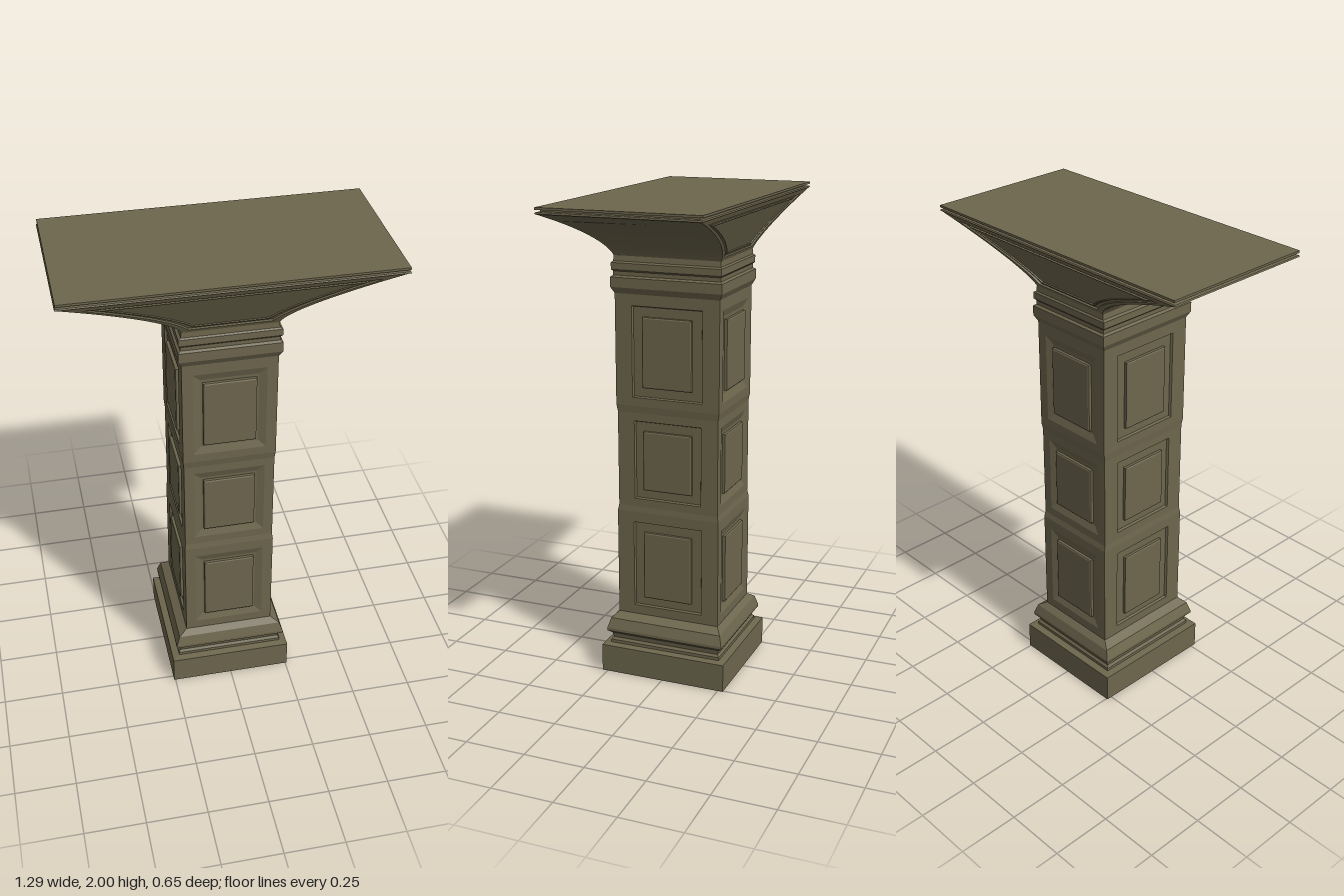
import * as THREE from 'three';

const stone = new THREE.MeshStandardMaterial({ color: 0x6e674e });
stone.name = 'olive stone';

// Flat-shaded skin over a list of matching closed rings (each counter-clockwise)
function bridge(rings, capEnd = false, capStart = false) {
  const pos = [];
  const quad = (a, b, c, d) => [a, b, c, a, c, d].forEach((p) => pos.push(...p));
  const cap = (r) => {
    const m = r.length;
    for (let i = 0; i < m / 2 - 1; i++) quad(r[i], r[i + 1], r[m - 2 - i], r[m - 1 - i]);
  };
  for (let k = 0; k + 1 < rings.length; k++) {
    const a = rings[k], b = rings[k + 1], m = a.length;
    for (let i = 0; i < m; i++) quad(a[i], a[(i + 1) % m], b[(i + 1) % m], b[i]);
  }
  if (capEnd) cap(rings[rings.length - 1]);
  if (capStart) cap([...rings[0]].reverse());
  const g = new THREE.BufferGeometry();
  g.setAttribute('position', new THREE.Float32BufferAttribute(pos, 3));
  g.computeVertexNormals();
  return g;
}

// Rectangular rings stacked along y: [y, half width, half depth]
const rect = ([y, w, d]) => [[w, y, d], [w, y, -d], [-w, y, -d], [-w, y, d]];
const moulding = (profile, end, start) => bridge(profile.map(rect), end, start);

// Capital profile
const Y0 = 1.77, RISE = 0.205;
const flareX = (y) => 0.185 + 0.455 * Math.pow(Math.max(0, (y - Y0) / RISE), 1.55);
const flareZ = (y) => 0.225 + 0.095 * (y - Y0) / RISE;

// Curved trapezoid outline on the sloping front of the capital
function capitalRing([y0, y1, margin, depth]) {
  const n = 16, right = [];
  for (let i = 0; i <= n; i++) {
    const y = y0 + (y1 - y0) * i / n;
    right.push([flareX(y) - margin, y, flareZ(y) - depth]);
  }
  return [...right, ...right.map(([x, y, z]) => [-x, y, z]).reverse()];
}

export function createModel() {
  const root = new THREE.Group();
  root.name = 'pillar';
  const add = (name, geo, parent = root) => {
    const m = new THREE.Mesh(geo, stone);
    m.name = name;
    parent.add(m);
    return m;
  };

  // Plinth and base mouldings
  add('base', moulding([
    [0, 0.256, 0.273], [0.118, 0.256, 0.273], [0.122, 0.226, 0.243], [0.135, 0.226, 0.243],
    [0.145, 0.218, 0.235], [0.165, 0.222, 0.24], [0.178, 0.237, 0.257], [0.19, 0.237, 0.257],
    [0.232, 0.222, 0.245], [0.255, 0.187, 0.222],
  ], false, true));

  // Shaft blocks: bottom, top, half width, half depth, panel centre and half heights
  const blocks = [
    { y0: 0.255, y1: 0.71, hx: 0.187, hz: 0.222, cy: 0.48, outer: 0.186, inner: 0.145, w: 0.15 },
    { y0: 0.735, y1: 1.135, hx: 0.184, hz: 0.217, cy: 0.935, outer: 0.166, inner: 0.125, w: 0.145 },
    { y0: 1.165, y1: 1.62, hx: 0.187, hz: 0.222, cy: 1.387, outer: 0.187, inner: 0.144, w: 0.15 },
  ];
  blocks.forEach((b, n) => {
    const block = new THREE.Group();
    block.name = 'shaftBlock' + (n + 1);
    root.add(block);
    for (let k = 0; k < 4; k++) {
      const side = k % 2 === 1;
      const half = side ? b.hz : b.hx, dist = side ? b.hx : b.hz;
      const w = side ? b.w : 0.145;
      const face = new THREE.Group();
      face.name = ['front', 'left', 'back', 'right'][k] + 'Face';
      face.rotation.y = k * Math.PI / 2;
      block.add(face);

      // Wall with a rectangular opening
      const path = (shape, x, ya, yb) => shape.moveTo(-x, ya).lineTo(x, ya).lineTo(x, yb).lineTo(-x, yb).closePath();
      const wall = path(new THREE.Shape(), half, b.y0, b.y1);
      wall.holes.push(path(new THREE.Path(), w, b.cy - b.outer, b.cy + b.outer));
      add('wall', new THREE.ShapeGeometry(wall).translate(0, 0, dist), face);

      // Sunken frame around a raised panel; the narrow faces slope in gently
      const lip = side ? 0.004 : 0.03;
      const relief = moulding([
        [0, w, b.outer], [-0.01, w - lip, b.outer - lip],
        [-0.01, 0.105, b.inner], [0.002, 0.105, b.inner], [0.005, 0.1, b.inner - 0.005],
      ], true);
      add('panel', relief.rotateX(Math.PI / 2).translate(0, b.cy, dist), face);
    }
  });

  // Bands between the blocks
  for (let i = 0; i < 2; i++) {
    const a = blocks[i], b = blocks[i + 1];
    add('shaftBand' + (i + 1), moulding([[a.y1, a.hx, a.hz], [b.y0, b.hx, b.hz]]));
  }

  // Collar under the capital
  add('collar', moulding([
    [1.62, 0.187, 0.222], [1.645, 0.2, 0.235], [1.685, 0.2, 0.235], [1.692, 0.19, 0.226],
    [1.708, 0.19, 0.226], [1.715, 0.198, 0.232], [1.742, 0.198, 0.232], [1.748, 0.188, 0.226],
    [Y0, 0.185, 0.225],
  ]));

  // Flared capital: framed front and back, smooth curved ends
  const frontGeo = bridge([
    [Y0, Y0 + RISE, 0, 0], [1.783, 1.956, 0.03, 0], [1.785, 1.954, 0.033, 0.01],
    [1.792, 1.947, 0.052, 0.01], [1.794, 1.945, 0.056, 0.003], [1.797, 1.942, 0.062, 0.003],
    [1.799, 1.94, 0.066, 0.009],
  ].map(capitalRing), true);
  const endGeo = new THREE.PlaneGeometry(1, 1, 1, 16);
  const p = endGeo.attributes.position;
  for (let i = 0; i < p.count; i++) {
    const y = Y0 + (p.getY(i) + 0.5) * RISE;
    p.setXYZ(i, flareX(y), y, -2 * p.getX(i) * flareZ(y));
  }
  endGeo.computeVertexNormals();
  for (const k of [0, 1]) {
    add(k ? 'capitalBack' : 'capitalFront', frontGeo).rotation.y = k * Math.PI;
    add(k ? 'capitalRightEnd' : 'capitalLeftEnd', endGeo).rotation.y = k * Math.PI;
  }

  // Thin grooved slab on top
  add('topSlab', moulding([
    [1.975, 0.64, 0.32], [1.977, 0.643, 0.325], [1.982, 0.64, 0.322], [1.984, 0.625, 0.31],
    [1.99, 0.625, 0.31], [1.991, 0.64, 0.325], [2.0, 0.64, 0.325],
  ], true));

  return root;
}
